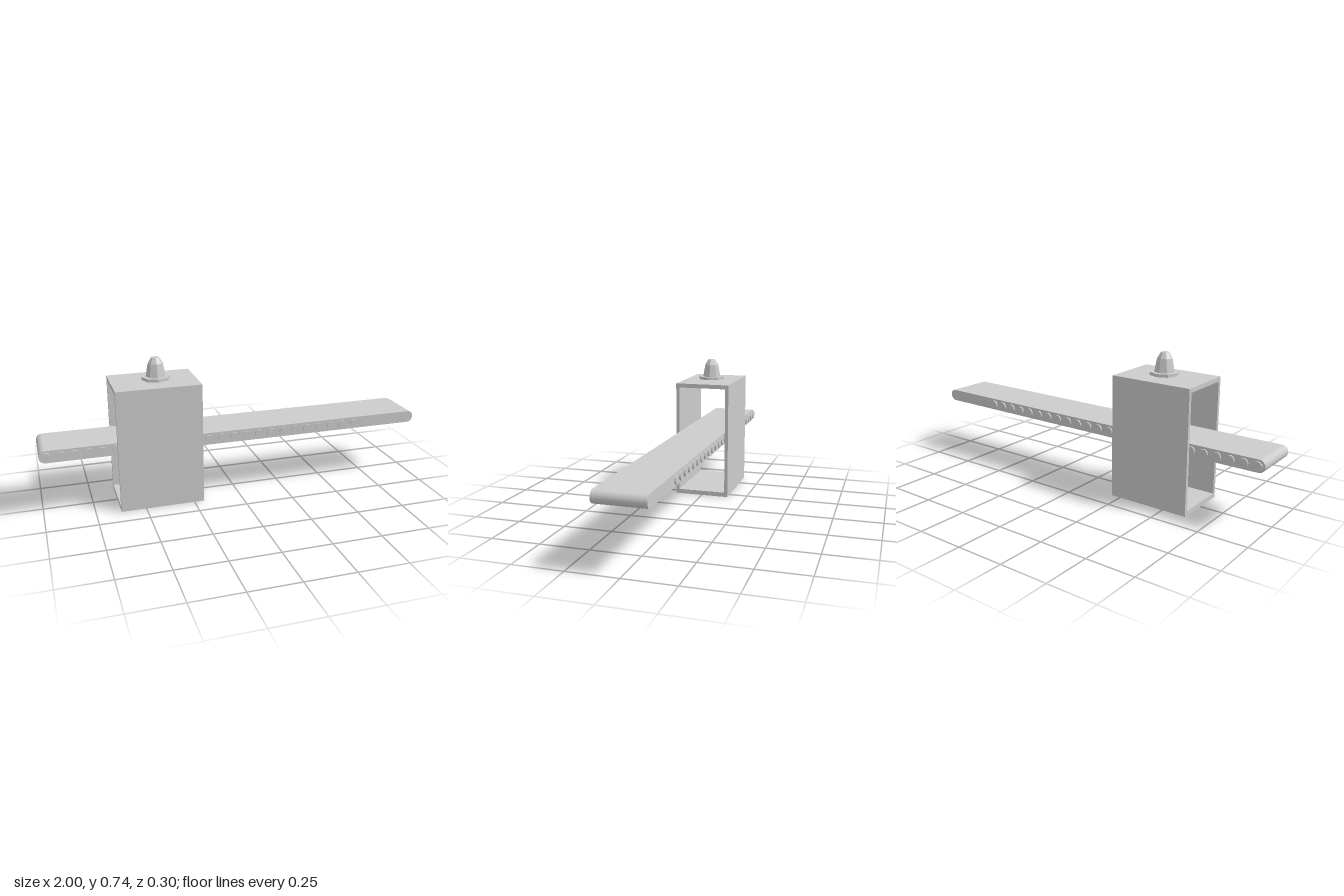
import * as THREE from 'three';

const material = new THREE.MeshStandardMaterial({ color: 0xcccccc, flatShading: true });

function part(name, geometry, parent, x = 0, y = 0, z = 0) {
  const mesh = new THREE.Mesh(geometry, material);
  mesh.name = name;
  mesh.position.set(x, y, z);
  parent.add(mesh);
  return mesh;
}

export function createModel() {
  const model = new THREE.Group();
  model.name = 'slidingBarModel';

  // Rectangular sleeve, open towards both x ends
  const w = 0.148, h = 0.627, iw = 0.13, y0 = 0.024, y1 = 0.605;
  const frame = new THREE.Shape();
  frame.moveTo(-w, 0).lineTo(w, 0).lineTo(w, h).lineTo(-w, h).closePath();
  const opening = new THREE.Path();
  opening.moveTo(-iw, y0).lineTo(-iw, y1).lineTo(iw, y1).lineTo(iw, y0).closePath();
  frame.holes.push(opening);
  const sleeve = new THREE.ExtrudeGeometry(frame, { depth: 0.427, bevelEnabled: false });
  sleeve.rotateY(Math.PI / 2);
  part('sleeve', sleeve, model, -0.626);

  // Long flat bar with rounded ends
  const r = 0.031, barY = 0.329, halfZ = 0.123;
  const profile = new THREE.Shape();
  profile.absarc(1 - r, 0, r, -Math.PI / 2, Math.PI / 2, false);
  profile.absarc(-1 + r, 0, r, Math.PI / 2, Math.PI * 1.5, false);
  profile.closePath();
  const bar = new THREE.ExtrudeGeometry(profile, { depth: 2 * halfZ, bevelEnabled: false, curveSegments: 8 });
  part('bar', bar, model, 0, barY, -halfZ);

  // Row of pegs along both sides of the bar
  const pegs = new THREE.Group();
  pegs.name = 'pegs';
  model.add(pegs);
  const pegGeometry = new THREE.CylinderGeometry(0.022, 0.022, 0.012, 12).rotateX(Math.PI / 2);
  const count = 25;
  for (let i = 0; i < count; i++) {
    const x = THREE.MathUtils.lerp(-0.965, 0.642, i / (count - 1));
    for (const side of [-1, 1]) part('peg', pegGeometry, pegs, x, barY, side * (halfZ + 0.002));
  }

  // Eight-sided knob with a flange, just above the sleeve
  const outline = [[0, 0.633], [0.072, 0.633], [0.072, 0.648], [0.05, 0.648], [0.038, 0.715], [0.02, 0.743], [0, 0.743]]
    .map(([x, y]) => new THREE.Vector2(x, y));
  part('knob', new THREE.LatheGeometry(outline, 8), model, -0.4);

  return model;
}
